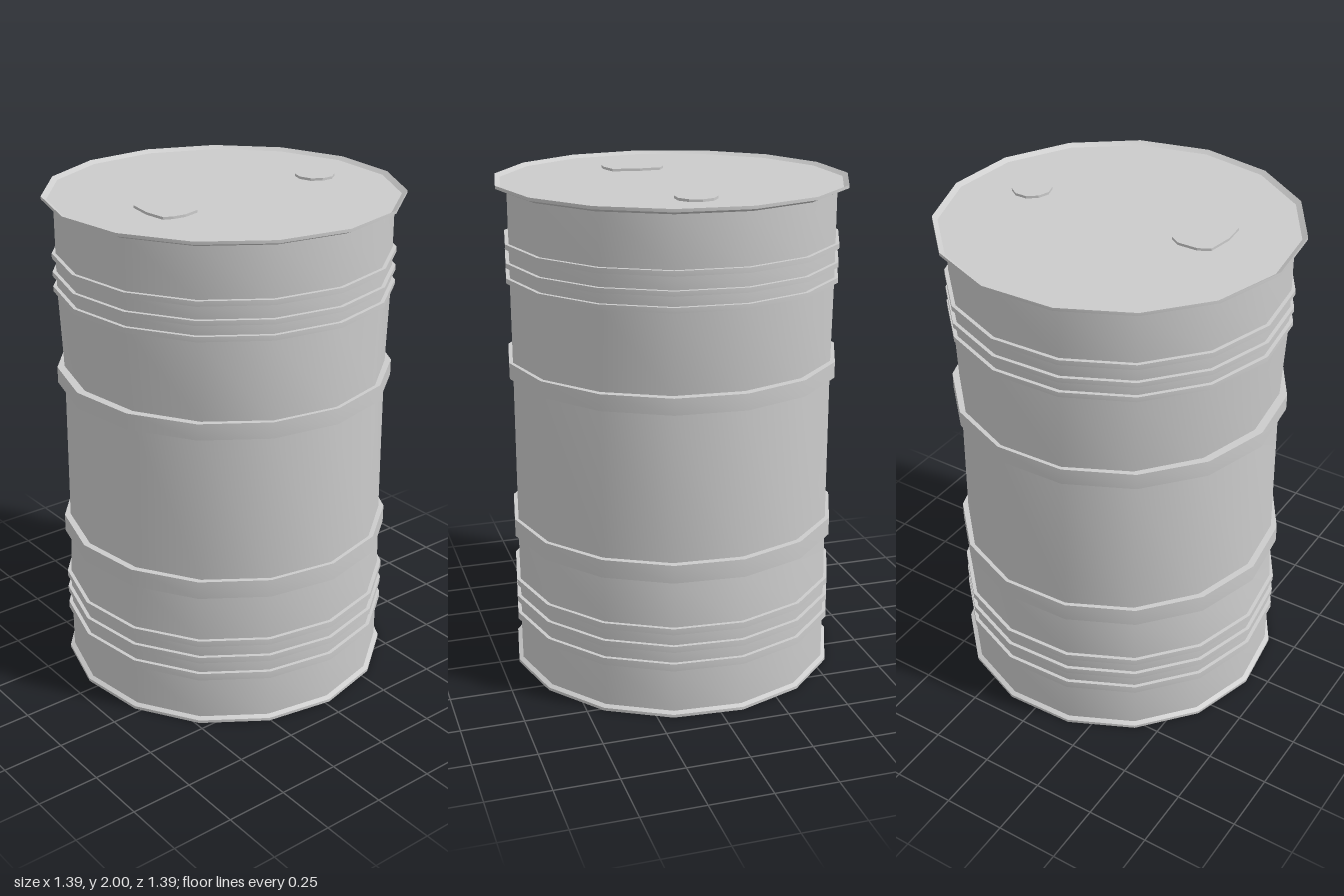
import * as THREE from 'three';
import { toCreasedNormals } from 'three/addons/utils/BufferGeometryUtils.js';

const SIDES = 15;
const BODY = 0.655, RIDGE = 0.67;
const LID_Y = 1.987;
const material = new THREE.MeshStandardMaterial({ color: 0xcccccc });

function addMesh(group, name, geometry) {
  const mesh = new THREE.Mesh(geometry, material);
  mesh.name = name;
  group.add(mesh);
}

// Faceted shell with smooth sides and sharp ridges
function drumGeometry() {
  // Raised hoops as [bottom, top], lowest first
  const hoops = [
    [0.2, 0.23], [0.28, 0.305], [0.355, 0.38],
    [0.572, 0.645], [1.24, 1.305],
    [1.622, 1.642], [1.683, 1.702], [1.755, 1.775],
  ];
  const profile = [[0, 0], [RIDGE + 0.003, 0], [RIDGE + 0.003, 0.012], [BODY, 0.02]];
  for (const [y0, y1] of hoops) {
    profile.push([BODY, y0], [RIDGE, y0], [RIDGE, y1], [BODY, y1]);
  }
  // Flared top rim and the lid sunk just inside it
  profile.push([BODY, 1.977], [0.675, 1.977], [0.7, 1.988], [0.7, 2], [0.68, LID_Y], [0, LID_Y]);

  const points = profile.map(([r, y]) => new THREE.Vector2(r, y));
  const geometry = new THREE.LatheGeometry(points, SIDES, 0.03);

  // The wall between the wide hoops is pressed in slightly from both sides
  const pos = geometry.attributes.position;
  for (let i = 0; i < pos.count; i++) {
    const x = pos.getX(i), y = pos.getY(i), z = pos.getZ(i);
    if (Math.abs(y - 0.94) < 0.4 && Math.hypot(x, z) < BODY + 0.005) {
      pos.setX(i, x * (y > 1 ? 0.972 : 0.982));
    }
  }
  return toCreasedNormals(geometry, 0.5);
}

// Thin plate lying on the lid, outlined by [x, z] points
function plateGeometry(outline) {
  const shape = new THREE.Shape(outline.map(([x, z]) => new THREE.Vector2(x, -z)));
  const geometry = new THREE.ExtrudeGeometry(shape, { depth: 0.012, bevelEnabled: false });
  geometry.rotateX(-Math.PI / 2);
  geometry.translate(0, LID_Y - 0.002, 0);
  return geometry;
}

export function createModel() {
  const group = new THREE.Group();
  group.name = 'drum';

  addMesh(group, 'drumShell', drumGeometry());

  // Rounded hatch on the right of the lid
  addMesh(group, 'hatch', plateGeometry([
    [-0.405, -0.025], [-0.36, -0.05], [-0.28, -0.05], [-0.24, -0.025], [-0.235, 0.06],
    [-0.255, 0.17], [-0.325, 0.19], [-0.375, 0.185], [-0.41, 0.17], [-0.42, 0.08],
  ]));

  // Small round plug on the left of the lid
  const plug = [];
  for (let i = 0; i < 10; i++) {
    const a = (i / 10) * Math.PI * 2;
    plug.push([0.427 + 0.078 * Math.cos(a), 0.038 + 0.08 * Math.sin(a)]);
  }
  addMesh(group, 'plug', plateGeometry(plug));

  return group;
}
